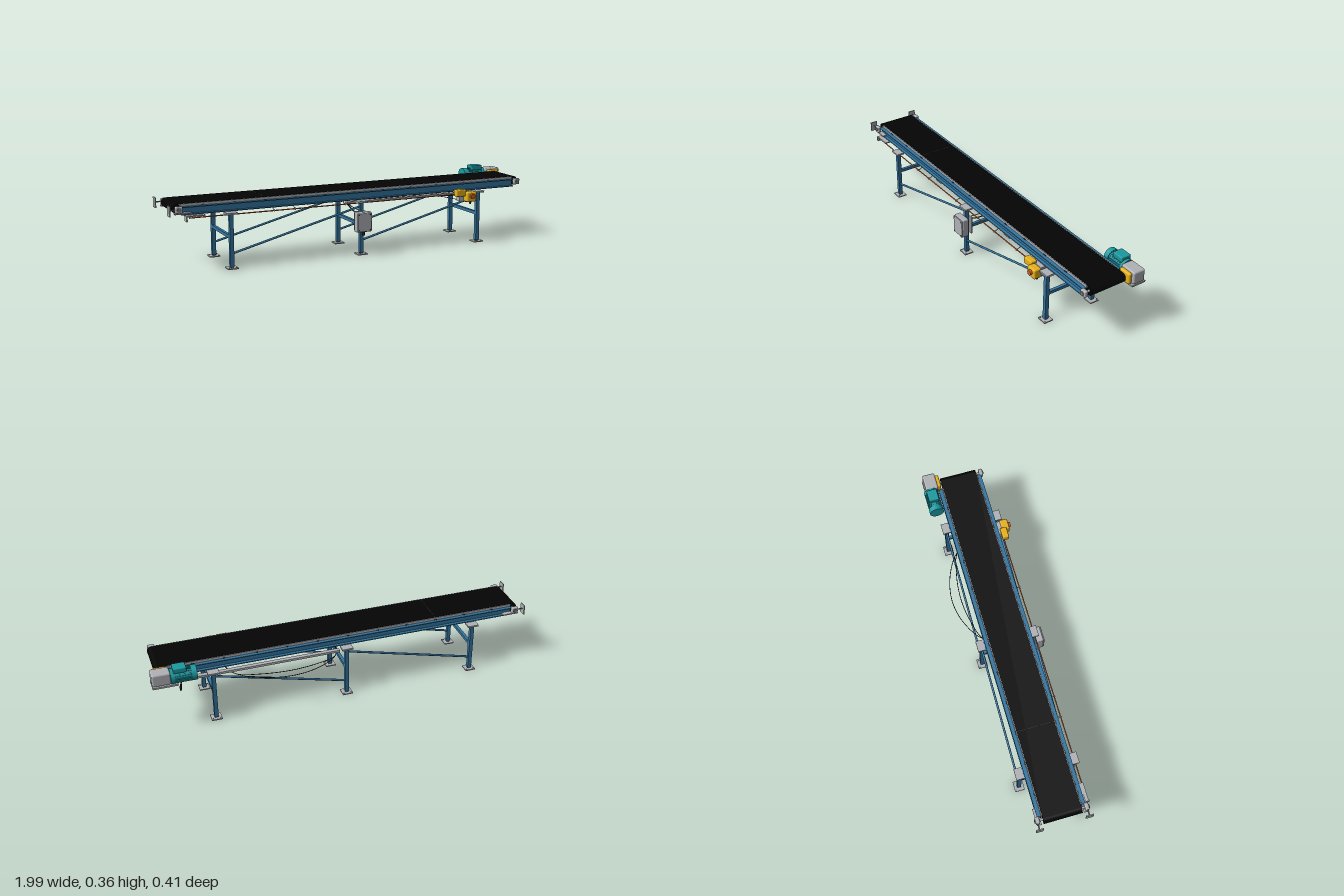
import * as THREE from 'three';
import { RoundedBoxGeometry } from 'three/addons/geometries/RoundedBoxGeometry.js';

const V = (x, y, z) => new THREE.Vector3(x, y, z);

export function createModel() {
  const root = new THREE.Group();
  root.name = 'beltConveyor';
  const mat = (name, color) => {
    const m = new THREE.MeshStandardMaterial({ color });
    m.name = name;
    return m;
  };
  const blue = mat('frameBlue', 0x34759f);
  const black = mat('beltBlack', 0x040404);
  const gray = mat('lightGray', 0xb0b2b7);
  const steel = mat('darkSteel', 0x7c7d81);
  const dark = mat('cableDark', 0x20231f);
  const yellow = mat('safetyYellow', 0xe8b31c);
  const teal = mat('motorTeal', 0x1b99a1);
  const orange = mat('signalOrange', 0xd4622a);

  const add = (name, geo, m) => {
    const mesh = new THREE.Mesh(geo, m);
    mesh.name = name;
    root.add(mesh);
    return mesh;
  };
  // Box from its limits on each axis, optionally rounded
  const box = (name, m, [x0, x1], [y0, y1], [z0, z1], r = 0) => {
    const s = [x1 - x0, y1 - y0, z1 - z0];
    const mesh = add(name, r ? new RoundedBoxGeometry(...s, 3, r) : new THREE.BoxGeometry(...s), m);
    mesh.position.set((x0 + x1) / 2, (y0 + y1) / 2, (z0 + z1) / 2);
    return mesh;
  };
  // Round rod between two points
  const rod = (name, m, a, b, r, sides = 20) => {
    const mesh = add(name, new THREE.CylinderGeometry(r, r, a.distanceTo(b), sides), m);
    mesh.position.copy(a).add(b).multiplyScalar(0.5);
    mesh.quaternion.setFromUnitVectors(V(0, 1, 0), b.clone().sub(a).normalize());
    return mesh;
  };
  const cable = (name, pts, r) =>
    add(name, new THREE.TubeGeometry(new THREE.CatmullRomCurve3(pts.map(p => V(...p))), 48, r, 8), dark);

  const zc = 0.008;            // centre line of the frame
  const endX = 0.944, axisY = 0.3065, beltR = 0.0235;

  // Belt loop: outer outline with the inner outline as a hole
  const loop = (Path, r) => {
    const p = new Path();
    p.moveTo(-endX, axisY - r);
    p.lineTo(endX, axisY - r);
    p.absarc(endX, axisY, r, -Math.PI / 2, Math.PI / 2, false);
    p.lineTo(-endX, axisY + r);
    p.absarc(-endX, axisY, r, Math.PI / 2, Math.PI * 1.5, false);
    return p;
  };
  const beltShape = loop(THREE.Shape, beltR);
  beltShape.holes.push(loop(THREE.Path, beltR - 0.003));
  const belt = add('belt', new THREE.ExtrudeGeometry(beltShape, { depth: 0.194, bevelEnabled: false, curveSegments: 16 }), black);
  belt.position.z = zc - 0.097;
  box('beltSeam', dark, [-0.502, -0.499], [0.3299, 0.3304], [-0.088, 0.104]);
  box('sliderBed', gray, [-0.93, 0.93], [0.314, 0.3265], [-0.0895, 0.1055]);

  // End pulleys and shafts
  for (const x of [-endX, endX]) {
    rod('pulley', black, V(x, axisY, zc - 0.095), V(x, axisY, zc + 0.095), beltR - 0.0032, 28);
    rod('pulleyShaft', gray, V(x, axisY, zc - 0.13), V(x, axisY, zc + 0.135), 0.006);
  }

  // Return rollers beneath the belt
  for (let i = 0; i < 10; i++) {
    const x = -0.83 + i * 0.185;
    rod('returnRoller', steel, V(x, 0.2775, zc - 0.1), V(x, 0.2775, zc + 0.1), 0.0055, 14);
  }

  for (const s of [1, -1]) {
    const span = (a, b) => (s > 0 ? [zc + a, zc + b] : [zc - b, zc - a]);
    const railEnd = s > 0 ? 0.93 : 0.9;
    // Channel side rail, open outward, with the bed's edge strip above
    box('railWeb', blue, [-0.93, railEnd], [0.278, 0.317], span(0.101, 0.105));
    for (const y of [0.278, 0.313]) box('railFlange', blue, [-0.93, railEnd], [y, y + 0.005], span(0.104, 0.121));
    box('bedEdgeStrip', gray, [-0.93, railEnd], [0.313, 0.3295], span(0.0975, 0.1012));
    for (let i = 0; i < 11; i++) {
      const x = -0.82 + i * 0.16;
      box('railBolt', dark, [x - 0.008, x + 0.008], [0.317, 0.32], span(0.1, 0.105));
    }

    // Tail take-up: end plate, bearing and adjusting screw
    box('takeUpPlate', gray, [-0.995, -0.989], [0.279, 0.33], span(0.106, 0.144));
    rod('takeUpScrew', steel, V(-0.992, axisY, zc + s * 0.125), V(-0.93, axisY, zc + s * 0.125), 0.0035, 10);
    box('takeUpGuide', gray, [-0.965, -0.88], [0.284, 0.29], span(0.106, 0.13));
    const bearings = s > 0 ? [-endX, endX] : [-endX];
    for (const x of bearings) {
      box('bearingBlock', gray, [x - 0.018, x + 0.018], [0.29, 0.323], span(0.113, 0.134), 0.006);
      rod('bearingCap', steel, V(x, axisY, zc + s * 0.13), V(x, axisY, zc + s * 0.138), 0.01);
    }

    // Legs with head plates, feet and anchor bolts
    const zl = zc + s * 0.139;
    for (const x of [-0.693, 0, 0.69]) {
      box('leg', blue, [x - 0.01, x + 0.01], [0.01, 0.27], [zl - 0.01, zl + 0.01]);
      box('legHeadPlate', gray, [x - 0.029, x + 0.029], [0.268, 0.277], span(0.118, 0.161));
      box('footPlate', gray, [x - 0.027, x + 0.027], [0, 0.006], [zl - 0.025, zl + 0.025]);
      box('footSleeve', dark, [x - 0.008, x + 0.008], [0.006, 0.011], [zl - 0.008, zl + 0.008]);
      for (const dx of [-0.019, 0.019])
        rod('anchorBolt', steel, V(x + dx, 0.006, zl + s * 0.017), V(x + dx, 0.009, zl + s * 0.017), 0.003, 6);
    }
    // Diagonal braces
    for (const x of [-0.693, 0]) rod('brace', blue, V(x, 0.073, zl), V(x + 0.68, 0.247, zl), 0.0055, 12);
  }

  // Cross beams tying the leg pairs
  for (const x of [-0.693, 0, 0.69])
    box('crossBeam', blue, [x - 0.008, x + 0.008], [0.147, 0.163], [zc - 0.13, zc + 0.13]);

  // Gear motor at the head end
  box('motorMountPlate', gray, [0.87, 0.995], [0.269, 0.278], [-0.185, -0.107]);
  box('gearFlange', yellow, [0.912, 0.982], [0.278, 0.337], [-0.116, -0.095], 0.008);
  box('gearbox', gray, [0.903, 0.995], [0.278, 0.344], [-0.18, -0.113], 0.009);
  const my = 0.31, mz = -0.155;
  rod('motorBody', teal, V(0.795, my, mz), V(0.885, my, mz), 0.033, 28);
  rod('motorFlange', teal, V(0.885, my, mz), V(0.905, my, mz), 0.038, 28);
  rod('fanCover', teal, V(0.776, my, mz), V(0.803, my, mz), 0.038, 28);
  for (let i = 0; i < 20; i++) {
    const a = (i / 20) * Math.PI * 2;
    const fin = box('coolingFin', teal, [0.803, 0.885], [-0.0015, 0.0015], [-0.003, 0.003]);
    fin.position.set(0.844, my + Math.sin(a) * 0.0345, mz + Math.cos(a) * 0.0345);
    fin.rotation.x = -a;
  }
  box('terminalBox', teal, [0.825, 0.89], [0.335, 0.363], [-0.182, -0.127], 0.005);

  // Control box on the middle front leg
  box('controlBoxMount', gray, [-0.03, 0.03], [0.125, 0.222], [0.129, 0.137]);
  box('controlBox', gray, [-0.043, 0.039], [0.123, 0.225], [0.156, 0.192], 0.006);
  box('controlBoxLid', gray, [-0.041, 0.037], [0.126, 0.222], [0.191, 0.198], 0.003);
  for (const x of [-0.033, 0.029]) for (const y of [0.135, 0.213])
    rod('lidScrew', dark, V(x, y, 0.196), V(x, y, 0.1995), 0.003, 10);
  rod('cableGland', dark, V(0, 0.103, 0.175), V(0, 0.124, 0.175), 0.007, 12);

  // Pull-cord safety switch
  box('switchBracket', gray, [0.575, 0.65], [0.228, 0.278], [0.123, 0.153]);
  box('switchHead', yellow, [0.545, 0.605], [0.257, 0.293], [0.142, 0.177], 0.006);
  box('switchHousing', yellow, [0.598, 0.657], [0.228, 0.281], [0.153, 0.195], 0.008);
  rod('stopButton', orange, V(0.628, 0.259, 0.194), V(0.628, 0.259, 0.206), 0.013);
  rod('switchGland', dark, V(0.635, 0.213, 0.165), V(0.635, 0.23, 0.165), 0.006, 12);

  // Pull cord, its anchor and guide eyes
  rod('pullCord', orange, V(-0.9, 0.267, 0.149), V(0.55, 0.267, 0.149), 0.003, 10);
  box('cordAnchorArm', gray, [-0.915, -0.82], [0.272, 0.278], [0.122, 0.155]);
  box('cordAnchorPlate', gray, [-0.915, -0.909], [0.25, 0.278], [0.125, 0.158]);
  for (const x of [-0.47, -0.36, -0.09, 0.26, 0.45]) {
    rod('eyeArm', gray, V(x, 0.279, 0.122), V(x, 0.267, 0.145), 0.002, 8);
    const eye = add('cordEye', new THREE.TorusGeometry(0.005, 0.0015, 8, 16), gray);
    eye.position.set(x, 0.267, 0.149);
    eye.rotation.y = Math.PI / 2;
  }

  // Cable tray and wiring
  box('cableTray', gray, [0.02, 0.84], [0.22, 0.232], [-0.084, -0.062]);
  cable('motorCable', [[0.855, 0.275, -0.166], [0.857, 0.235, -0.167], [0.857, 0.212, -0.145],
    [0.852, 0.212, -0.11], [0.835, 0.22, -0.075]], 0.003);
  cable('boxCable', [[0.025, 0.222, -0.073], [0.02, 0.207, -0.01], [0.015, 0.197, 0.06],
    [0.01, 0.2, 0.11], [0, 0.217, 0.14]], 0.003);
  cable('switchCable', [[0.6, 0.22, -0.073], [0.61, 0.23, -0.01], [0.62, 0.245, 0.06],
    [0.63, 0.248, 0.1], [0.63, 0.243, 0.13]], 0.003);
  for (const peak of [-0.205, -0.158]) {
    const z = f => -0.1 + (peak + 0.1) * f;
    cable('slackCable', [[0.01, 0.217, 0.137], [0.02, 0.217, 0.03], [0.05, 0.217, -0.1], [0.16, 0.217, z(0.72)],
      [0.3, 0.217, peak], [0.45, 0.217, z(0.72)], [0.57, 0.217, -0.1], [0.62, 0.217, 0.03], [0.635, 0.217, 0.137]], 0.0018);
  }
  return root;
}
